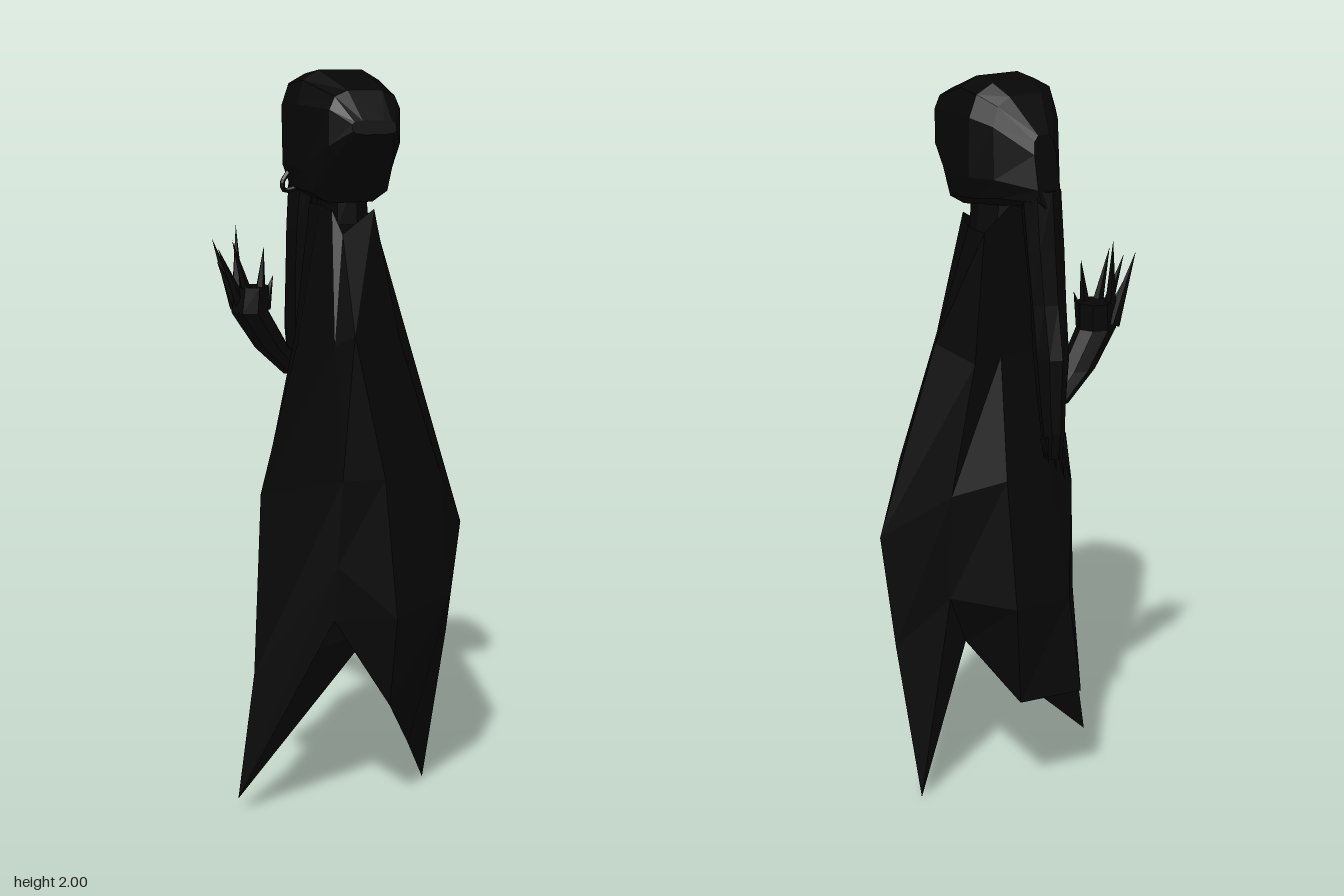
import * as THREE from 'three';

const cloth = new THREE.MeshStandardMaterial({ color: 0x060606, flatShading: true, side: THREE.DoubleSide });
cloth.name = 'black cloth';
const V = (x, y, z) => new THREE.Vector3(x, y, z);

// Skin a list of closed rings (equal point counts), optionally capping the ends
function loft(name, rings, capped = false) {
  const n = rings[0].length, pos = [], idx = [];
  rings.forEach(r => r.forEach(p => pos.push(p.x, p.y, p.z)));
  for (let r = 0; r < rings.length - 1; r++) {
    for (let i = 0; i < n; i++) {
      const a = r * n + i, b = r * n + (i + 1) % n;
      idx.push(a, b, b + n, a, b + n, a + n);
    }
  }
  if (capped) {
    const s = (rings.length - 1) * n;
    for (let i = 1; i < n - 1; i++) idx.push(0, i + 1, i, s, s + i, s + i + 1);
  }
  const g = new THREE.BufferGeometry();
  g.setAttribute('position', new THREE.Float32BufferAttribute(pos, 3));
  g.setIndex(idx);
  g.computeVertexNormals();
  const m = new THREE.Mesh(g, cloth);
  m.name = name;
  return m;
}

// Limb made of horizontal ellipses [x, y, z, rx, rz], listed from bottom to top
function limb(name, sections, sides = 8) {
  return loft(name, sections.map(([x, y, z, rx, rz]) =>
    Array.from({ length: sides }, (_, i) => {
      const a = i / sides * Math.PI * 2;
      return V(x + Math.sin(a) * rx, y, z + Math.cos(a) * rz);
    })), true);
}

// Pointed finger from base to tip
function claw(name, base, tip, r) {
  const d = tip.clone().sub(base);
  const m = new THREE.Mesh(new THREE.ConeGeometry(r, d.length(), 5), cloth);
  m.position.copy(base).addScaledVector(d, 0.5);
  m.quaternion.setFromUnitVectors(V(0, 1, 0), d.normalize());
  m.name = name;
  return m;
}

function cloak() {
  // Vertical folds, each from hem to collar, going round from front to left, back and right.
  // The back flap folds in on its right side and returns to the left notch before the right tip;
  // the last fold is the slit in the front hem.
  const folds = [
    [.02, .325, .248, .03, .57, .27, 0, .95, .255, -.08, 1.33, .235, -.05, 1.58, .11],
    [.145, .16, .13, .23, .6, .21, .2, .95, .19, .1, 1.3, .15, .06, 1.64, .08],
    [.26, 0, .015, .295, .45, .08, .32, .77, .11, .18, 1.31, .04, .1, 1.62, 0],
    [.13, .46, -.02, .18, .6, -.02, .18, .9, -.03, .13, 1.27, -.07, .11, 1.62, -.085],
    [.09, .34, -.22, .08, .6, -.19, .07, .95, -.13, .05, 1.28, -.075, .03, 1.68, -.085],
    [-.095, .335, -.25, -.09, .6, -.2, -.07, .95, -.135, -.05, 1.28, -.075, -.03, 1.68, -.085],
    [-.117, .31, -.19, -.13, .6, -.165, -.14, .9, -.14, -.08, 1.3, -.07, -.04, 1.68, -.08],
    [.12, .455, -.02, -.05, .6, -.02, -.2, .9, -.055, -.11, 1.3, -.05, -.06, 1.65, -.06],
    [-.32, .04, .01, -.281, .4, .037, -.23, .88, -.02, -.14, 1.3, .03, -.06, 1.65, 0],
    [-.125, .57, .205, -.12, .72, .215, -.11, .95, .225, -.11, 1.3, .18, -.06, 1.64, .07],
  ];
  const rings = [0, 1, 2, 3, 4].map(r => folds.map(f => V(f[r * 3], f[r * 3 + 1], f[r * 3 + 2])));
  return loft('cloak', rings);
}

function hood() {
  // [z at top, z at bottom, top y, bottom y, half width]
  const sections = [
    [.21, .222, 1.875, 1.84, .065],
    [.165, .165, 1.95, 1.765, .105],
    [.03, .09, 2, 1.66, .135],
    [-.04, -.03, 1.99, 1.675, .14],
    [-.09, -.1, 1.96, 1.685, .105],
    [-.165, -.2, 1.87, 1.69, .035],
  ];
  const soft = v => Math.sign(v) * Math.abs(v) ** 0.55;
  const rings = sections.map(([zt, zb, yt, yb, w]) =>
    Array.from({ length: 12 }, (_, i) => {
      const a = (i + 0.5) / 12 * Math.PI * 2;
      const t = (soft(Math.sin(a)) / soft(Math.sin(Math.PI * 5 / 12)) + 1) / 2;
      return V(-.015 + w * soft(Math.cos(a)), yb + (yt - yb) * t, zb + (zt - zb) * t);
    }));
  return loft('hood', rings, true);
}

export function createModel() {
  const model = new THREE.Group();
  model.name = 'hooded figure';
  model.add(cloak(), hood());

  // Neck joining collar and hood
  model.add(limb('neck', [[.01, 1.6, 0, .065, .08], [0, 1.72, 0, .06, .09]]));

  // Long hanging sleeve and lowered hand
  model.add(limb('loweredArm', [
    [-.01, 1.03, -.222, .025, .025],
    [-.01, 1.1, -.222, .03, .034],
    [-.01, 1.18, -.215, .035, .04],
    [-.015, 1.3, -.205, .045, .05],
    [-.02, 1.44, -.185, .05, .042],
    [-.02, 1.58, -.168, .055, .045],
    [-.018, 1.73, -.15, .055, .052],
  ]));
  const lowered = new THREE.Group();
  lowered.name = 'loweredHand';
  for (let i = 0; i < 4; i++) {
    const x = -.035 + i * .018;
    lowered.add(claw('loweredFinger', V(x, 1.09, -.225), V(x - .01, .955 + i * .02, -.262 + i * .01), .014));
  }
  model.add(lowered);

  // Bent forearm and raised palm
  model.add(limb('raisedArm', [
    [-.03, 1.17, -.2, .04, .035],
    [-.11, 1.25, -.195, .05, .045],
    [-.175, 1.35, -.192, .055, .05],
    [-.17, 1.42, -.192, .05, .05],
  ]));
  const raised = new THREE.Group();
  raised.name = 'raisedHand';
  const tips = [[-.265, 1.55, -.24], [-.2, 1.585, -.225], [-.262, 1.49, -.215],
    [-.275, 1.53, -.18], [-.24, 1.55, -.163], [-.15, 1.53, -.155], [-.115, 1.45, -.17]];
  tips.forEach(([x, y, z], i) =>
    raised.add(claw('raisedFinger', V(-.2 + Math.max(0, i - 3) * .02, 1.36, z * .7 - .06), V(x, y, z), .02)));
  model.add(raised);

  // Small curled cord on the hood rim
  const cord = new THREE.CatmullRomCurve3([V(-.14, 1.74, -.02), V(-.16, 1.71, -.02), V(-.155, 1.69, -.02), V(-.12, 1.695, -.01)]);
  const cordMesh = new THREE.Mesh(new THREE.TubeGeometry(cord, 10, .007, 5), cloth);
  cordMesh.name = 'hoodCord';
  model.add(cordMesh);
  return model;
}
